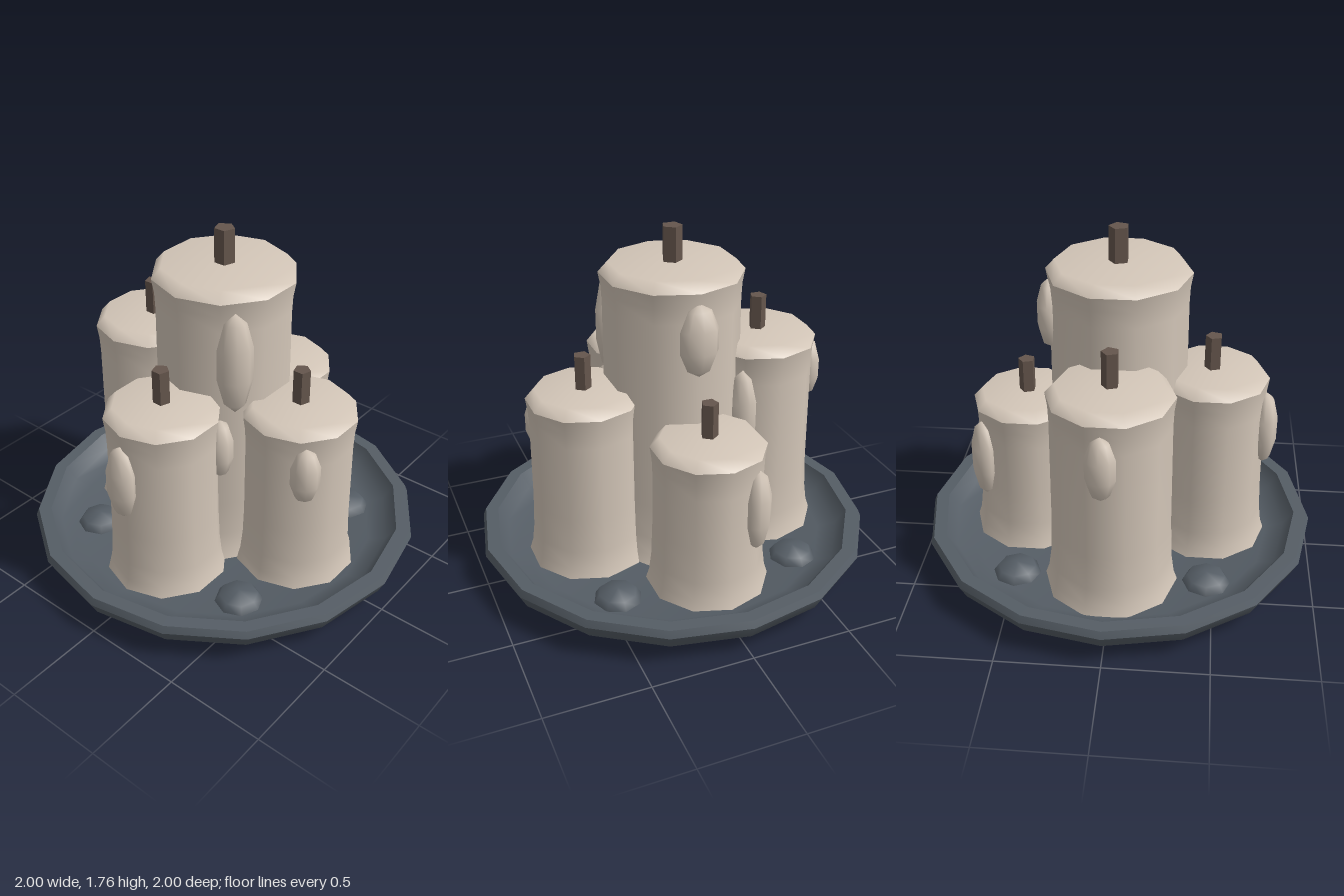
import * as THREE from 'three';
import { toCreasedNormals } from 'three/addons/utils/BufferGeometryUtils.js';

const material = (name, color) => Object.assign(new THREE.MeshStandardMaterial({ color }), { name });

export function createModel() {
  const wax = material('wax', 0xd3c6b8);
  const slate = material('slate tray', 0x555d65);
  const char = material('wick', 0x65564d);
  const model = new THREE.Group();
  model.name = 'candleTray';

  const add = (parent, name, geometry, mat, x = 0, y = 0, z = 0) => {
    const mesh = new THREE.Mesh(geometry, mat);
    mesh.name = name;
    mesh.position.set(x, y, z);
    parent.add(mesh);
    return mesh;
  };
  const lathe = (points, sides, start = 0) =>
    new THREE.LatheGeometry(points.map(([r, y]) => new THREE.Vector2(r, y)), sides, start);

  // Shallow dish with a raised rim
  const dish = lathe([
    [0, 0.065], [0.92, 0.065], [0.965, 0.1], [1, 0.17], [0.985, 0.205],
    [0.92, 0.205], [0.87, 0.13], [0.78, 0.1], [0, 0.1],
  ], 16);
  add(model, 'tray', toCreasedNormals(dish, 0.75), slate);

  // Round feet that also show through the dish floor
  for (const x of [-0.47, 0.47]) {
    for (const z of [-0.47, 0.47]) {
      add(model, 'foot', new THREE.SphereGeometry(1, 8, 4), slate, x, 0.08, z).scale.set(0.132, 0.08, 0.132);
    }
  }

  // Candle: flared ten-sided body, bevelled cap and five-sided wick
  const addCandle = (name, x, z, r, top, wickRadius) => {
    const candle = new THREE.Group();
    candle.name = name;
    candle.position.set(x, 0, z);
    model.add(candle);
    const lip = top - 0.05;
    add(candle, 'candleBody', lathe([
      [r * 1.1, 0.09], [r * 1.03, 0.15], [r * 0.99, 0.24], [r * 0.965, 0.42],
      [r * 0.955, lip - 0.15], [r * 0.965, lip - 0.07], [r, lip],
    ], 10, Math.PI / 2), wax);
    add(candle, 'candleCap', lathe([[r, lip], [r - 0.045, top], [0, top]], 10, Math.PI / 2), wax);
    const wick = new THREE.CylinderGeometry(wickRadius, wickRadius, 0.19, 5).rotateY(Math.PI / 2);
    add(candle, 'wick', toCreasedNormals(wick, 0.5), char, 0, top + 0.075, 0);
  };
  addCandle('centreCandle', 0, 0, 0.35, 1.59, 0.05);
  addCandle('leftCandle', 0.46, 0, 0.277, 0.885, 0.042);
  addCandle('rightCandle', -0.46, 0, 0.28, 1.05, 0.042);
  addCandle('frontCandle', 0, 0.46, 0.28, 1.01, 0.042);
  addCandle('backCandle', 0, -0.46, 0.3, 1.18, 0.042);

  // Wax drips: candle axis x, z, then drip centre x, y, z, half width, half height
  const drips = [
    [0, 0, -0.225, 1.23, 0.245, 0.09, 0.26],
    [0, 0, 0.335, 1.31, 0, 0.1, 0.18],
    [0.46, 0, 0.67, 0.565, -0.16, 0.08, 0.215],
    [-0.46, 0, -0.73, 0.73, -0.02, 0.085, 0.2],
    [-0.46, 0, -0.315, 0.805, 0.23, 0.07, 0.16],
    [0, 0.46, -0.2, 0.77, 0.64, 0.075, 0.15],
    [0, -0.46, 0.225, 0.83, -0.28, 0.075, 0.235],
    [0, -0.46, 0.02, 0.92, -0.75, 0.075, 0.165],
  ];
  for (const [cx, cz, x, y, z, w, h] of drips) {
    const drip = add(model, 'waxDrip', new THREE.SphereGeometry(1, 8, 5), wax, x, y, z);
    drip.scale.set(w, h, 0.065);
    drip.rotation.y = Math.atan2(x - cx, z - cz);
  }
  return model;
}
